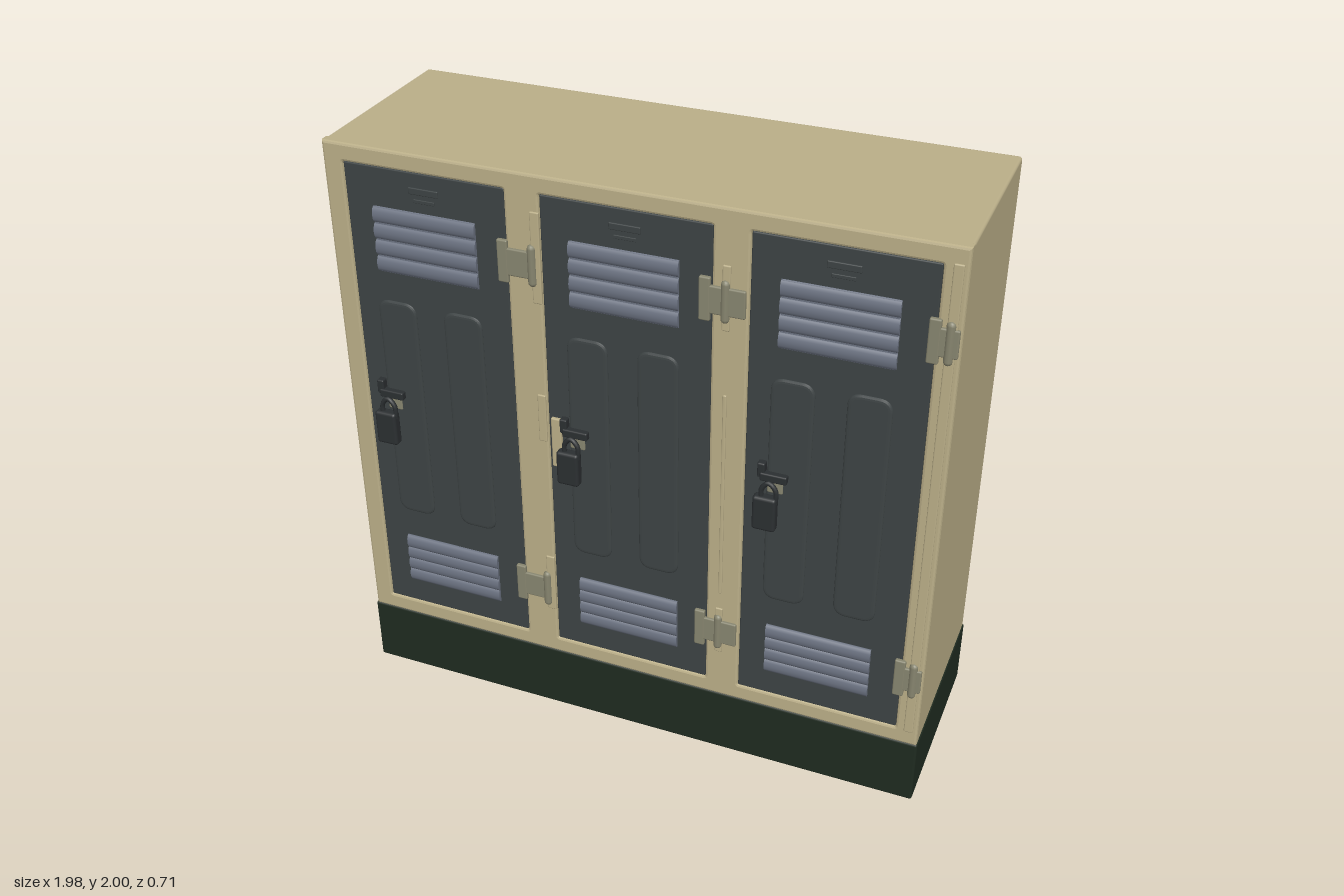
import * as THREE from 'three';
import { RoundedBoxGeometry } from 'three/addons/geometries/RoundedBoxGeometry.js';

const material = (name, color) => {
  const m = new THREE.MeshStandardMaterial({ color });
  m.name = name;
  return m;
};

// Rounded rectangle outline centred on the origin
function roundedRect(w, h, r, Type = THREE.Shape) {
  const s = new Type(), x = w / 2, y = h / 2;
  s.moveTo(-x + r, -y);
  s.lineTo(x - r, -y); s.quadraticCurveTo(x, -y, x, -y + r);
  s.lineTo(x, y - r); s.quadraticCurveTo(x, y, x - r, y);
  s.lineTo(-x + r, y); s.quadraticCurveTo(-x, y, -x, y - r);
  s.lineTo(-x, -y + r); s.quadraticCurveTo(-x, -y, -x + r, -y);
  return s;
}

export function createModel() {
  const tan = material('tan paint', 0xbaae88);
  const slate = material('door slate', 0x3d4344);
  const ventGrey = material('vent grey', 0x6c7382);
  const green = material('base green', 0x1f2b20);
  const hingeGrey = material('hinge grey', 0x87856f);
  const black = material('lock black', 0x2b2f31);

  const model = new THREE.Group();
  model.name = 'lockers';
  const add = (parent, name, geometry, mat, x = 0, y = 0, z = 0) => {
    const mesh = new THREE.Mesh(geometry, mat);
    mesh.name = name;
    mesh.position.set(x, y, z);
    parent.add(mesh);
    return mesh;
  };
  const box = (parent, name, mat, w, h, d, x, y, z, r = 0.005) =>
    add(parent, name, new RoundedBoxGeometry(w, h, d, 2, r), mat, x, y, z);

  // Cabinet and plinth
  box(model, 'cabinet', tan, 1.976, 1.77, 0.645, 0, 1.115, -0.0275, 0.01);
  box(model, 'base', green, 1.984, 0.24, 0.664, 0, 0.12, -0.02, 0.008);

  // Front frame with three door openings
  const doors = [-0.653, -0.003, 0.647];
  const doorW = 0.535, doorH = 1.645, doorY = 1.1175, bevel = 0.008;
  const frame = new THREE.Shape();
  frame.moveTo(-0.98, 0.243);
  frame.lineTo(0.98, 0.243);
  frame.lineTo(0.98, 1.992);
  frame.lineTo(-0.98, 1.992);
  frame.closePath();
  for (const x of doors) {
    const pts = roundedRect(doorW + 0.018, doorH + 0.018, 0.015).getPoints(4)
      .map((p) => p.add(new THREE.Vector2(x, doorY)));
    frame.holes.push(new THREE.Path(pts));
  }
  add(model, 'frontFrame', new THREE.ExtrudeGeometry(frame, {
    depth: 0.024, bevelThickness: bevel, bevelSize: bevel, bevelSegments: 2,
  }), tan, 0, 0, 0.278);

  // Vent slat: flattened half-round louvre
  const slat = new THREE.CylinderGeometry(0.027, 0.027, 0.345, 12);
  slat.rotateZ(Math.PI / 2);
  slat.scale(1, 1, 0.5);

  // Pressed door panel with soft edges
  const panel = new THREE.ExtrudeGeometry(roundedRect(0.11, 0.78, 0.03), {
    depth: 0.001, bevelThickness: 0.006, bevelSize: 0.012, bevelSegments: 3,
  });

  // Padlock shackle
  const arch = new THREE.CatmullRomCurve3([
    [-0.022, 0, 0], [-0.022, 0.045, 0], [0, 0.068, 0], [0.022, 0.045, 0], [0.022, 0, 0],
  ].map((p) => new THREE.Vector3(...p)));
  const shackle = new THREE.TubeGeometry(arch, 16, 0.008, 8);

  doors.forEach((x, i) => {
    const door = new THREE.Group();
    door.name = 'door' + (i + 1);
    door.position.set(x, 0, 0.306);
    model.add(door);
    box(door, 'doorPanel', slate, doorW, doorH, 0.016, 0, doorY, -0.008, 0.004);

    for (const side of [-1, 1])
      add(door, 'pressedPanel', panel, slate, -0.013 + side * 0.115, 1.09, 0);
    box(door, 'nameSlot', slate, 0.1, 0.022, 0.008, 0, 1.882, 0, 0.003);
    box(door, 'nameSlotLower', slate, 0.07, 0.012, 0.006, 0, 1.85, 0, 0.002);

    // Louvred vents, four slats each
    for (const [y, pitch] of [[1.702, 0.055], [0.485, 0.046]]) {
      const vent = new THREE.Group();
      vent.name = 'vent';
      vent.position.y = y;
      door.add(vent);
      box(vent, 'ventPlate', ventGrey, 0.34, pitch * 4, 0.008, -0.005, 0, 0, 0.003);
      for (let k = 0; k < 4; k++)
        add(vent, 'ventSlat', slat, ventGrey, -0.005, (k - 1.5) * pitch, 0);
    }

    // Hasp and padlock
    const lock = new THREE.Group();
    lock.name = 'lock';
    lock.position.x = -0.185;
    door.add(lock);
    box(lock, 'hasp', black, 0.085, 0.028, 0.03, 0.015, 1.155, 0.012);
    box(lock, 'haspPost', black, 0.024, 0.05, 0.03, -0.025, 1.175, 0.008);
    box(lock, 'haspPlate', hingeGrey, 0.05, 0.06, 0.012, 0.018, 1.125, 0.006);
    add(lock, 'shackle', shackle, black, 0.006, 1.075, 0.033);
    box(lock, 'lockBody', black, 0.075, 0.12, 0.036, -0.004, 1.035, 0.032, 0.01);
  });

  // Hinges bridging each door and the frame on its right
  const hinges = [[-0.35, 0.1, -0.3], [0.305, 0.13, 0.308], [0.944, 0.075, 0.955]];
  for (const [x, w, pin] of hinges)
    for (const y of [1.71, 0.505]) {
      const hinge = new THREE.Group();
      hinge.name = 'hinge';
      hinge.position.set(0, y, 0.312);
      model.add(hinge);
      box(hinge, 'hingeLeaf', hingeGrey, w, 0.09, 0.014, x, 0, 0);
      box(hinge, 'hingeDoorLeaf', hingeGrey, 0.035, 0.14, 0.016, x - w / 2 + 0.005, 0, 0);
      add(hinge, 'hingePin', new THREE.CapsuleGeometry(0.014, 0.11, 4, 10), hingeGrey, pin, 0, 0);
    }

  // Raised strips on the frame posts
  const strips = [
    [-0.287, 1.735, 0.03, 0.3], [-0.287, 0.53, 0.03, 0.22], [-0.29, 1.18, 0.028, 0.17],
    [0.31, 1.72, 0.025, 0.21], [0.31, 0.51, 0.025, 0.18], [0.312, 1.03, 0.012, 0.74],
    [0.958, 1.12, 0.03, 1.66],
  ];
  for (const [x, y, w, h] of strips)
    box(model, 'frameStrip', tan, w, h, 0.012, x, y, 0.309, 0.004);
  box(model, 'strikePlate', tan, 0.035, 0.18, 0.016, -0.243, 1.1, 0.309);

  return model;
}
